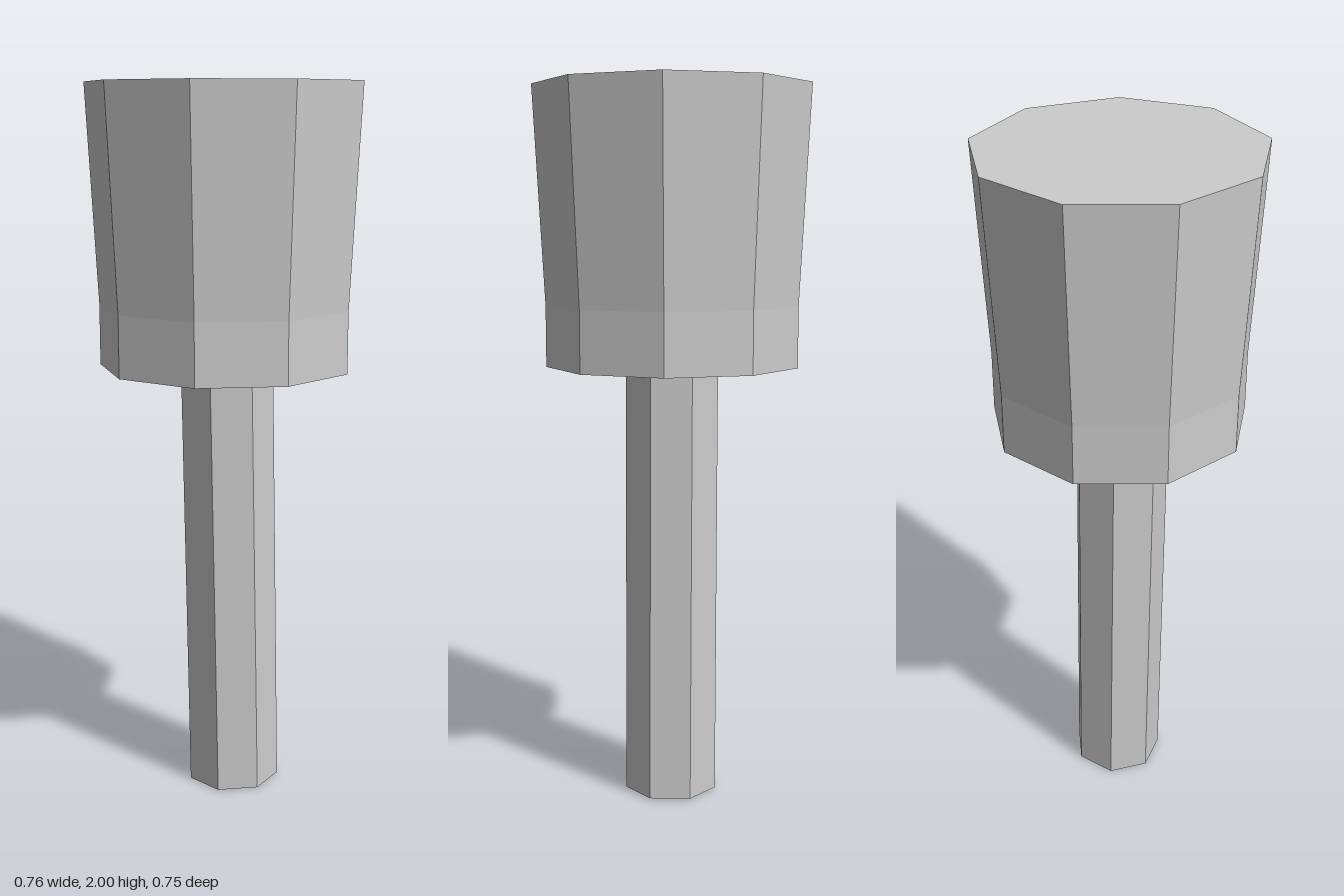
import * as THREE from 'three';
import { mergeGeometries } from 'three/addons/utils/BufferGeometryUtils.js';

// Upright prism with one corner pointing to -z, standing on y0.
function prism(rTop, rBottom, y0, y1, sides, open) {
  const g = new THREE.CylinderGeometry(rTop, rBottom, y1 - y0, sides, 1, open, Math.PI);
  return g.translate(0, (y0 + y1) / 2, 0);
}

// Flat end cap with the same corner direction as the prisms.
function cap(radius, y, sides, up) {
  const g = new THREE.CircleGeometry(radius, sides, Math.PI / 2);
  return g.rotateX(up ? -Math.PI / 2 : Math.PI / 2).rotateY(up ? 0 : Math.PI).translate(0, y, 0);
}

export function createModel() {
  const grey = new THREE.MeshStandardMaterial({ color: 0xcccccc, flatShading: true });
  grey.name = 'light grey';
  const model = new THREE.Group();
  model.name = 'mallet';

  // Nine-sided head: straight collar below, flaring body above, closed at both ends
  const head = new THREE.Mesh(mergeGeometries([
    prism(0.355, 0.355, 1.23, 1.4, 9, true),
    prism(0.386, 0.355, 1.4, 2, 9, true),
    cap(0.386, 2, 9, true),
    cap(0.355, 1.23, 9, false),
  ]), grey);
  head.name = 'head';
  head.position.z = 0.011;
  // Seven-sided handle, leaning slightly and set into the head
  const handle = new THREE.Mesh(prism(0.132, 0.132, 0, 1.26, 7, false), grey);
  handle.name = 'handle';
  handle.position.set(0.0185, 0.003, 0.0135);
  handle.rotation.z = 0.0167;

  model.add(head, handle);
  return model;
}
